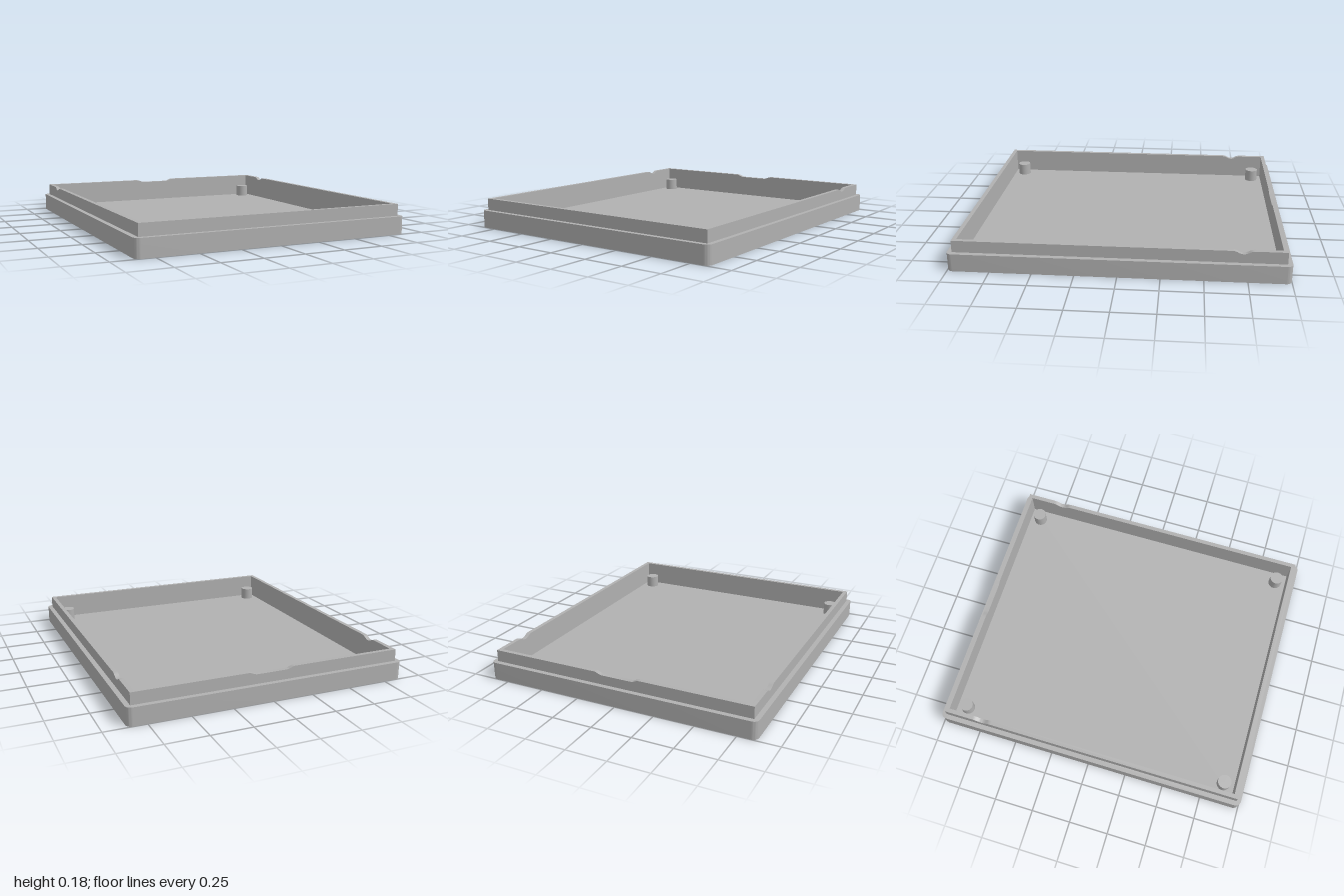
import * as THREE from 'three';
import { toCreasedNormals } from 'three/addons/utils/BufferGeometryUtils.js';

const OUT_X = 0.865, OUT_Z = 1, CORNER = 0.035;   // base outline
const LIP_X = 0.835, LIP_Z = 0.97, WALL = 0.026;  // raised lip
const FLOOR = 0.03, BASE_H = 0.11, TOP = 0.183;

// Extrude a shape with smooth curves and sharp edges
function extrude(shape, depth) {
  const g = new THREE.ExtrudeGeometry(shape, { depth, bevelEnabled: false, curveSegments: 8 });
  return toCreasedNormals(g, 0.6);
}

function roundedRect(hx, hz, r) {
  const s = new THREE.Shape();
  s.absarc(hx - r, hz - r, r, 0, Math.PI / 2);
  s.absarc(-hx + r, hz - r, r, Math.PI / 2, Math.PI);
  s.absarc(-hx + r, -hz + r, r, Math.PI, Math.PI * 1.5);
  s.absarc(hx - r, -hz + r, r, Math.PI * 1.5, Math.PI * 2);
  s.closePath();
  return s;
}

// Wall elevation with an optional soft dip in its top edge
function wallShape(half, dip) {
  const s = new THREE.Shape();
  s.moveTo(-half, BASE_H);
  s.lineTo(half, BASE_H);
  s.lineTo(half, TOP);
  if (dip) {
    const { at, width, ramp, depth } = dip;
    const a = at + width / 2, b = at - width / 2, low = TOP - depth;
    s.lineTo(a, TOP);
    s.bezierCurveTo(a - ramp * 0.45, TOP, a - ramp * 0.55, low, a - ramp, low);
    if (width > 2 * ramp) s.lineTo(b + ramp, low);
    s.bezierCurveTo(b + ramp * 0.55, low, b + ramp * 0.45, TOP, b, TOP);
  }
  s.lineTo(-half, TOP);
  s.closePath();
  return s;
}

export function createModel() {
  const model = new THREE.Group();
  model.name = 'enclosureTray';
  const grey = new THREE.MeshStandardMaterial({ color: 0xb0b0b0 });
  grey.name = 'grey';

  const add = (name, geometry, x = 0, y = 0, z = 0) => {
    const mesh = new THREE.Mesh(geometry, grey);
    mesh.name = name;
    mesh.position.set(x, y, z);
    model.add(mesh);
  };

  // Base rim with rounded outer corners and a square opening
  const inX = LIP_X - WALL, inZ = LIP_Z - WALL;
  const rim = roundedRect(OUT_X, OUT_Z, CORNER);
  rim.holes.push(new THREE.Path([
    new THREE.Vector2(-inX, -inZ), new THREE.Vector2(-inX, inZ),
    new THREE.Vector2(inX, inZ), new THREE.Vector2(inX, -inZ),
  ]));
  add('baseRim', extrude(rim, BASE_H).rotateX(-Math.PI / 2));

  // Floor panel
  add('floor', new THREE.BoxGeometry(inX * 2, FLOOR, inZ * 2), 0, FLOOR / 2, 0);

  // Side lip walls, each with a finger notch near the back
  const notch = { at: -0.72, width: 0.125, ramp: 0.0625, depth: 0.019 };
  const side = extrude(wallShape(LIP_Z, notch), WALL).rotateY(-Math.PI / 2);
  add('leftLip', side, LIP_X);
  add('rightLip', side, -inX);

  // Front lip, and back lip with a wide shallow dip
  add('frontLip', extrude(wallShape(inX), WALL), 0, 0, inZ);
  const wideDip = { at: 0, width: 0.3, ramp: 0.06, depth: 0.015 };
  add('backLip', extrude(wallShape(inX, wideDip), WALL), 0, 0, -LIP_Z);

  // Corner support posts
  const postH = 0.078;
  const post = new THREE.CylinderGeometry(0.043, 0.043, postH, 32);
  for (const x of [-0.738, 0.738]) {
    for (const z of [-0.873, 0.873]) add('cornerPost', post, x, FLOOR + postH / 2, z);
  }

  return model;
}
